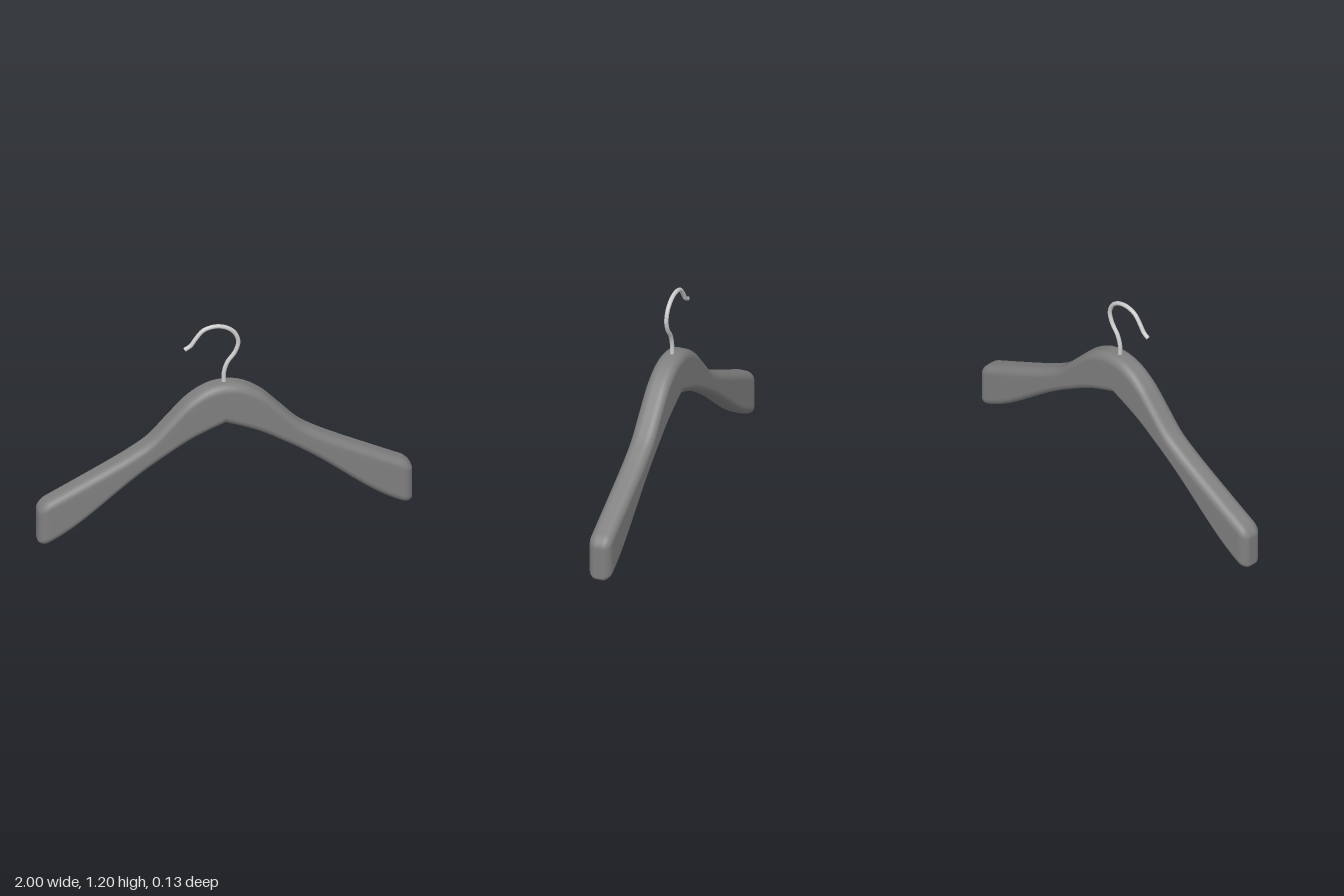
import * as THREE from 'three';

const spline = (pts) => {
  const f = new THREE.CubicInterpolant(pts.map((p) => p[0]), pts.map((p) => p[1]), 1);
  return (x) => f.evaluate(x)[0];
};

// Upper and lower edges of one arm, as height over distance from the centre
const topEdge = spline([[-0.1, 0.83], [0, 0.849], [0.1, 0.83], [0.2, 0.768], [0.3, 0.665], [0.4, 0.56],
  [0.5, 0.493], [0.6, 0.438], [0.8, 0.336], [0.9, 0.286], [1, 0.236]]);
const bottomEdge = spline([[0, 0.615], [0.1, 0.575], [0.2, 0.528], [0.3, 0.467], [0.4, 0.402], [0.5, 0.33],
  [0.6, 0.25], [0.7, 0.168], [0.8, 0.092], [0.9, 0.03], [0.96, 0.002], [1, -0.006]]);

const END = 0.945;   // where the rounded tip begins
const FLAT = 0.018;  // half width of the flat strip along the edges
const ROUND = 0.045; // edge rounding
const CORNER = 8;    // steps per rounded edge

// One arm: rounded-rectangle cross-sections from the centre to the tip
function armGeometry(side) {
  const stations = [];
  for (let i = 0; i < 64; i++) stations.push({ x: END * i / 64, c: 1 });
  for (let i = 0; i <= 12; i++) {
    const a = i / 12 * Math.PI / 2;
    stations.push({ x: END + (1 - END) * Math.sin(a), c: Math.cos(a) });
  }
  const pos = [], index = [];
  const ring = 4 * (CORNER + 1);
  const tri = (a, b, c) => (side > 0 ? index.push(a, b, c) : index.push(a, c, b));
  for (const { x, c } of stations) {
    const top = topEdge(x) - 0.04 * (1 - c);
    const bottom = bottomEdge(x) + 0.033 * (1 - c);
    const rz = ROUND * c, ry = 0.006 + 0.042 * c;
    for (let q = 0; q < 4; q++) {
      const sz = q === 0 || q === 3 ? 1 : -1;
      const cy = q < 2 ? top - ry : bottom + ry;
      for (let k = 0; k <= CORNER; k++) {
        const a = (q + k / CORNER) * Math.PI / 2;
        pos.push(side * x, cy + ry * Math.sin(a), sz * FLAT + rz * Math.cos(a));
      }
    }
  }
  for (let i = 0; i < stations.length - 1; i++) {
    for (let j = 0; j < ring; j++) {
      const a = i * ring + j, b = i * ring + (j + 1) % ring;
      tri(a, a + ring, b);
      tri(b, a + ring, b + ring);
    }
  }
  // Flat end of the tip
  const last = (stations.length - 1) * ring, centre = pos.length / 3;
  pos.push(side, 0.115, 0);
  for (let j = 0; j < ring; j++) tri(centre, last + (j + 1) % ring, last + j);

  const g = new THREE.BufferGeometry();
  g.setAttribute('position', new THREE.Float32BufferAttribute(pos, 3));
  g.setIndex(index);
  g.computeVertexNormals();
  return g;
}

export function createModel() {
  const group = new THREE.Group();
  const bodyMaterial = new THREE.MeshStandardMaterial({ color: 0x808080 });
  const hookMaterial = new THREE.MeshStandardMaterial({ color: 0xcccccc });
  const add = (name, geometry, material, parent = group) => {
    const mesh = new THREE.Mesh(geometry, material);
    mesh.name = name;
    parent.add(mesh);
    return mesh;
  };

  // Shoulder arms
  add('leftArm', armGeometry(1), bodyMaterial);
  add('rightArm', armGeometry(-1), bodyMaterial);

  // Wire hook with a closed end
  const hook = new THREE.Group();
  hook.name = 'hook';
  group.add(hook);
  const path = new THREE.CatmullRomCurve3([
    [0, 0.82], [0, 0.905], [0.018, 0.962], [0.06, 1.022], [0.076, 1.08], [0.056, 1.138], [0.01, 1.175],
    [-0.05, 1.188], [-0.11, 1.172], [-0.152, 1.125], [-0.178, 1.088], [-0.21, 1.068],
  ].map(([x, y]) => new THREE.Vector3(x, y, 0)));
  add('hookWire', new THREE.TubeGeometry(path, 96, 0.0115, 16), hookMaterial, hook);
  const cap = add('hookEnd', new THREE.CircleGeometry(0.0115, 16), hookMaterial, hook);
  cap.position.copy(path.getPointAt(1));
  cap.quaternion.setFromUnitVectors(new THREE.Vector3(0, 0, 1), path.getTangentAt(1));
  return group;
}
